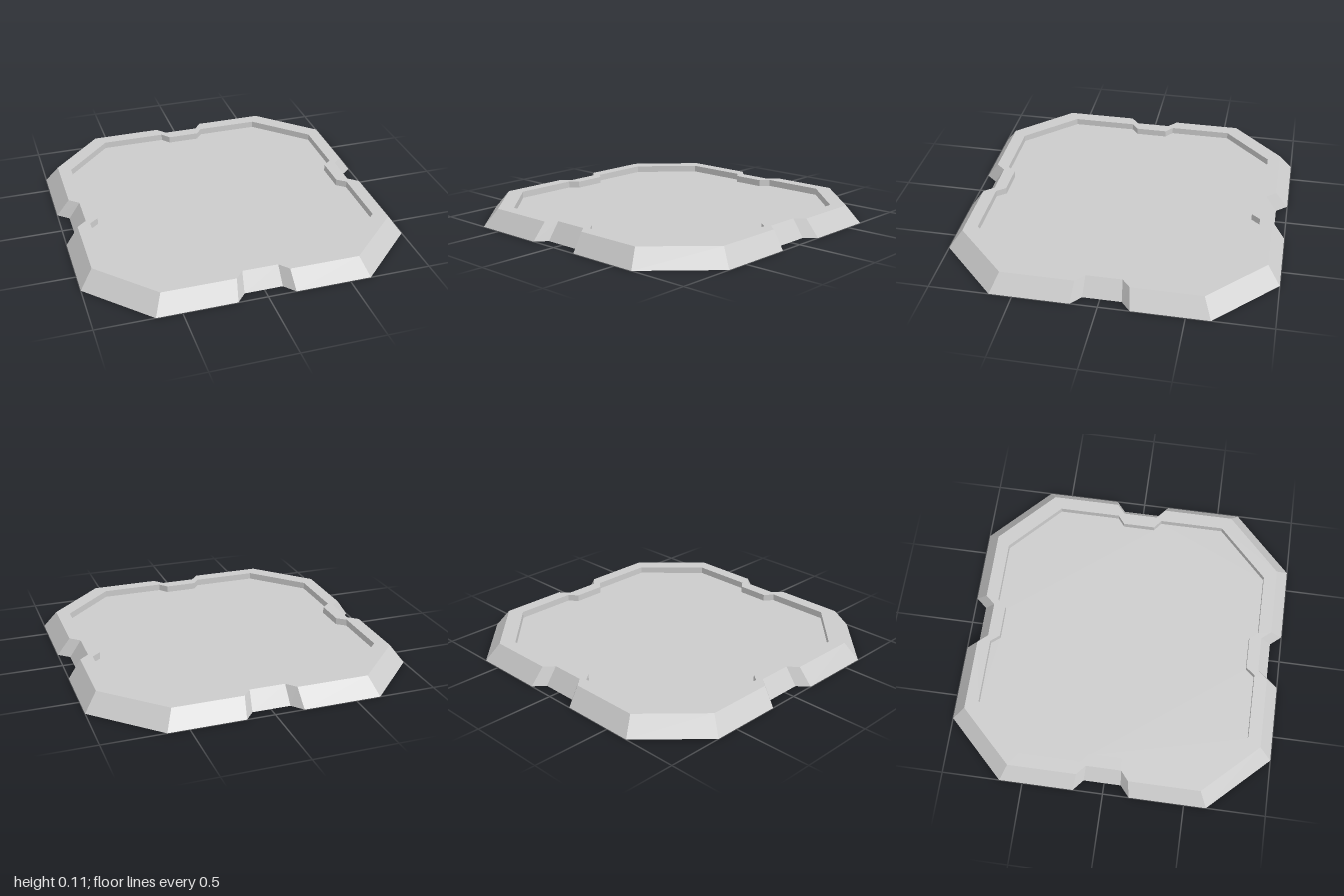
import * as THREE from 'three';

const mat = new THREE.MeshStandardMaterial({ color: 0xcccccc, flatShading: true });

// Eight-sided outline with a notch in each of its four main sides.
// edge / corner: side distance and half length; mouth, notch, depth: the notch trapezoid.
function ring({ y, edge, corner, mouth, notch, depth }) {
  const side = [
    [-corner, edge], [-mouth, edge], [-notch, depth],
    [notch, depth], [mouth, edge], [corner, edge],
  ];
  const points = [];
  for (let s = 0; s < 4; s++) {
    side.forEach(([along, out], i) => {
      let [x, z] = [along, out];
      for (let k = 0; k < s; k++) [x, z] = [z, -x];
      // the corners and notches sit slightly off centre
      const isCorner = i === 0 || i === 5;
      if (s % 2 === 0) x += isCorner ? -0.012 : -0.004;
      else z += isCorner ? -0.003 : -0.012;
      points.push(new THREE.Vector3(x, y, z));
    });
  }
  return points;
}

// Band of flat quads between two rings
function band(name, a, b) {
  const pos = [];
  for (let i = 0; i < a.length; i++) {
    const j = (i + 1) % a.length;
    for (const p of [a[i], a[j], b[j], a[i], b[j], b[i]]) pos.push(p.x, p.y, p.z);
  }
  const geo = new THREE.BufferGeometry();
  geo.setAttribute('position', new THREE.Float32BufferAttribute(pos, 3));
  geo.computeVertexNormals();
  return named(name, geo);
}

// Flat face filling a ring, facing up (1) or down (-1)
function cap(name, points, facing) {
  const shape = new THREE.Shape(points.map((p) => new THREE.Vector2(p.x, -facing * p.z)));
  const geo = new THREE.ShapeGeometry(shape);
  geo.rotateX(-facing * Math.PI / 2);
  geo.translate(0, points[0].y, 0);
  return named(name, geo);
}

function named(name, geo) {
  const mesh = new THREE.Mesh(geo, mat);
  mesh.name = name;
  return mesh;
}

export function createModel() {
  const group = new THREE.Group();
  group.name = 'notchedTray';

  const base = ring({ y: 0, edge: 1, corner: 0.64, mouth: 0.173, notch: 0.115, depth: 0.932 });
  const rimOuter = ring({ y: 0.108, edge: 0.922, corner: 0.592, mouth: 0.159, notch: 0.108, depth: 0.863 });
  const inner = { edge: 0.842, corner: 0.538, mouth: 0.143, notch: 0.1, depth: 0.788 };
  const rimInner = ring({ y: 0.108, ...inner });
  const floorEdge = ring({ y: 0.066, ...inner });

  group.add(
    band('slopedOuterWall', base, rimOuter),
    band('rim', rimOuter, rimInner),
    band('innerWall', rimInner, floorEdge),
    cap('floor', floorEdge, 1),
    cap('underside', base, -1),
  );
  return group;
}
